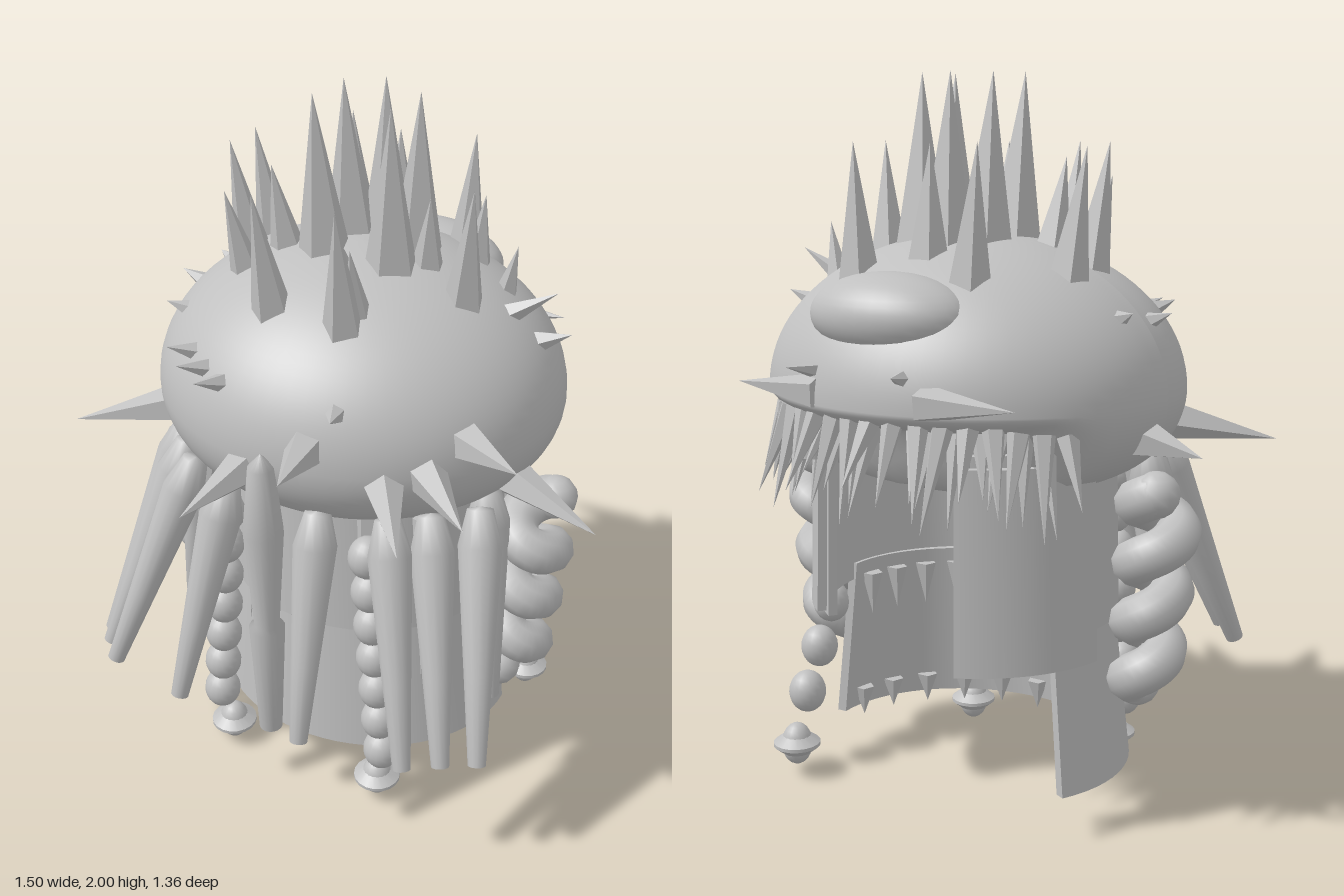
import * as THREE from 'three';
import { toCreasedNormals } from 'three/addons/utils/BufferGeometryUtils.js';

const grey = new THREE.MeshStandardMaterial({ color: 0xc0c0c0 });
grey.name = 'grey';
const UP = new THREE.Vector3(0, 1, 0);
const SIDES = [1, -1];

// Dome centre and radii
const C = new THREE.Vector3(-0.03, 1.17, -0.09);
const R = new THREE.Vector3(0.58, 0.41, 0.54);
const domeTop = (x, z) => C.y + R.y * Math.sqrt(1 - ((x - C.x) / R.x) ** 2 - ((z - C.z) / R.z) ** 2);
const lathe = (profile, sides) =>
  new THREE.LatheGeometry(profile.map(([x, y]) => new THREE.Vector2(x, y)), sides);

export function createModel() {
  const model = new THREE.Group();
  model.name = 'spikedHeaddress';

  const add = (name, geo, parent = model) => {
    const mesh = new THREE.Mesh(geo, grey);
    mesh.name = name;
    parent.add(mesh);
    return mesh;
  };
  const group = (name) => {
    const g = new THREE.Group();
    g.name = name;
    model.add(g);
    return g;
  };
  // Lays a unit-height mesh between two points
  const span = (mesh, from, to) => {
    const d = new THREE.Vector3().subVectors(to, from);
    mesh.position.copy(from);
    mesh.scale.y = d.length();
    mesh.quaternion.setFromUnitVectors(UP, d.normalize());
    return mesh;
  };
  const V = (x, y, z) => new THREE.Vector3(x, y, z);
  const coneGeo = toCreasedNormals(new THREE.ConeGeometry(1, 1, 5).translate(0, 0.5, 0), 0.2);
  const spike = (parent, name, base, tip, r) => {
    const m = span(add(name, coneGeo, parent), base, tip);
    m.scale.x = m.scale.z = r;
  };

  // Dome: fuller and shallower below, with the underside lifted at the back
  const dome = new THREE.SphereGeometry(1, 64, 48);
  const pos = dome.attributes.position;
  for (let i = 0; i < pos.count; i++) {
    const y = pos.getY(i);
    const full = y < 0 ? Math.max(0.001, 1 - y * y) ** -0.2 : 1;
    const x = pos.getX(i) * full, z = pos.getZ(i) * full;
    const ry = y > 0 ? R.y : 0.27 - 0.19 * THREE.MathUtils.smoothstep(-z, 0.38, 0.62);
    pos.setXYZ(i, C.x + R.x * x, C.y + ry * y, C.z + R.z * z);
  }
  dome.computeVertexNormals();
  add('dome', dome);
  const bulge = add('backBulge', new THREE.SphereGeometry(1, 32, 20));
  bulge.scale.set(0.23, 0.11, 0.15);
  bulge.position.set(-0.01, 1.39, -0.46);

  // Crown spikes: x and z of the foot, height of the tip
  const crown = group('crownSpikes');
  const crownSpike = (x, z, top) =>
    spike(crown, 'crownSpike', V(x, domeTop(x, z) - 0.05, z), V(x * 1.12, top, z * 1.1 + 0.04), top * 0.1 - 0.122);
  for (const s of SIDES) {
    crownSpike(s * 0.1 - 0.01, -0.03, 2);
    crownSpike(s * 0.1, -0.16, 2);
    crownSpike(s * 0.17 - 0.025, -0.38, 1.82);
    crownSpike(s * 0.105 - 0.025, 0.21, 1.82);
    crownSpike(s * 0.32 - 0.03, -0.05, 1.82);
  }
  [[-0.02, -0.22, 2], [-0.03, -0.32, 1.82], [-0.36, -0.18, 1.81], [-0.23, -0.04, 1.78],
    [-0.3, 0.06, 1.73], [0.22, -0.28, 1.7], [0.01, 0.07, 1.68], [0.33, -0.23, 1.6],
    [0.16, -0.1, 1.75], [0.09, 0.16, 1.7],
  ].forEach((p) => crownSpike(...p));

  // Spikes growing outward through the dome surface, given by their tips
  const thorns = group('domeSpikes');
  const thorn = (x, y, z, r) => {
    const tip = V(x, y, z), d = tip.clone().sub(C);
    const base = C.clone().addScaledVector(d, 0.93 / d.clone().divide(R).length());
    spike(thorns, 'domeSpike', base, tip, r);
  };
  [[-0.75, 1.02, 0.31], [-0.74, 1.05, -0.16], [0.75, 0.98, 0.07], [0.62, 1.27, 0.32], [0.55, 1.17, 0.47],
    [0.43, 1.12, 0.58], [-0.13, 1.11, 0.68], [0.13, 1.26, 0.63],
  ].forEach((p) => thorn(...p, 0.06));
  [[-0.3, 1.37, 0.42], [-0.37, 1.38, 0.36], [-0.5, 1.4, 0.17], [-0.59, 1.39, -0.04], [0.51, 1.52, -0.16],
  ].forEach((p) => thorn(...p, 0.035));
  for (const s of SIDES) {
    thorn(s * 0.2 - 0.02, 1.36, 0.46, 0.035);
    thorn(s * 0.55, 1.4, -0.18, 0.04);
    thorn(s * 0.16, 1.27, -0.67, 0.03);
    // Long spikes lying sideways along the back
    spike(thorns, 'backSpike', V(s * 0.16 - 0.04, 1.2, -0.59), V(s * 0.42 - 0.05, 1.21, -0.61), 0.05);
  }

  // Ragged spiky fringe along the back rim, in two rows
  const fringe = group('backFringe');
  for (let row = 0; row < 2; row++) {
    for (let i = 0; i <= 16; i++) {
      const a = -0.98 + 0.12 * i + row * 0.06;
      const k = 0.92 - row * 0.12, s = Math.sin(a), c = Math.cos(a);
      const x = C.x + R.x * k * s, z = C.z - R.z * k * c;
      const y = 1.02 + 0.09 * c, len = 0.13 + 0.03 * ((i * 7 + row * 3) % 4);
      spike(fringe, 'fringeSpike', V(x, y + 0.04, z),
        V(x + s * 0.05 + 0.03 * ((i % 3) - 1), y - len, z - c * 0.09), 0.03);
    }
  }
  add('backPeg', new THREE.CylinderGeometry(0.035, 0.035, 0.11, 12)).position.set(0.22, 1.06, -0.5);

  // Curved neck guard pieces: elliptical arcs from angle a0 to a1 (90 degrees is the front)
  const guard = (name, rx, rz, y0, height, a0, a1, flare) => {
    const arc = (k) => Array.from({ length: 41 }, (_, i) => {
      const a = THREE.MathUtils.degToRad(a0 + ((a1 - a0) * i) / 40);
      return new THREE.Vector2((rx - k) * Math.cos(a), (k - rz) * Math.sin(a));
    });
    const shape = new THREE.Shape([...arc(0), ...arc(0.025).reverse()]);
    const geo = new THREE.ExtrudeGeometry(shape, { depth: height, bevelEnabled: false });
    geo.rotateX(-Math.PI / 2);
    const p = geo.attributes.position;
    for (let i = 0; i < p.count; i++) {
      const f = 1 + flare * (1 - p.getY(i) / height);
      p.setX(i, p.getX(i) * f);
      p.setZ(i, p.getZ(i) * f);
    }
    geo.translate(-0.025, y0, -0.12);
    add(name, toCreasedNormals(geo, 0.6));
  };
  guard('lowerGuard', 0.41, 0.37, 0.13, 0.47, -3, 207, 0.13);
  guard('upperGuard', 0.41, 0.39, 0.55, 0.5, -54, 238, 0.03);
  guard('leftFlap', 0.44, 0.41, 0.56, 0.46, -52, -8, 0.03);
  guard('rightFlap', 0.44, 0.41, 0.48, 0.54, 190, 244, 0.03);

  // Downward teeth along the inside of both guard rims
  const teeth = group('rimTeeth');
  const toothRow = (rx, rz, y, len, n) => {
    for (let i = 0; i < n; i++) {
      const a = (Math.PI * (i + 0.5)) / n;
      const x = rx * Math.cos(a) - 0.025, z = rz * Math.sin(a) - 0.12;
      spike(teeth, 'rimTooth', V(x, y, z), V(x, y - len, z), 0.032);
    }
  };
  toothRow(0.38, 0.355, 0.56, 0.13, 12);
  toothRow(0.425, 0.38, 0.19, 0.09, 11);

  // Hanging tendrils: rounded at the top, tapering to a blunt end
  const tendrils = group('tendrils');
  const tendrilGeo = lathe([[0, 0], [0.025, 0], [0.039, 0.35], [0.06, 0.86], [0.036, 1], [0, 1.01]], 14);
  const tendril = (x, z, endX, endY, endZ) =>
    span(add('tendril', tendrilGeo, tendrils), V(endX, endY, endZ), V(x, 1.02, z));
  for (const s of SIDES) {
    tendril(s * 0.14 - 0.045, 0.38, s * 0.195 - 0.055, 0.4, 0.58);
    tendril(s * 0.3 - 0.03, 0.32, s * 0.47 - 0.04, 0.39, 0.53);
    tendril(s * 0.38 - 0.02, 0.25, s * 0.54 - 0.02, 0.4, 0.48);
    tendril(s * 0.46, 0.16, s * 0.6, 0.39, 0.42);
    tendril(s * 0.46 - 0.02, 0.07, s * 0.51 - 0.01, 0.36, 0.11);
  }
  const centre = lathe([[0, 0.29], [0.033, 0.29], [0.05, 0.65], [0.035, 0.66], [0.055, 0.97], [0.035, 1.17], [0, 1.21]], 16);
  add('centreTendril', centre, tendrils).position.set(-0.025, 0, 0.46);
  // Thin pointed strands behind the tendrils
  for (let i = -2; i <= 2; i++)
    spike(tendrils, 'thinStrand', V(i * 0.17, 1, 0.24), V(i * 0.185, 0.5, 0.3), 0.035);

  // Coiled locks at both sides
  for (const s of SIDES) {
    const pts = [];
    for (let i = 0; i <= 60; i++) {
      const t = i / 60, a = t * 6.8 * Math.PI + 1.2, r = 0.07 - 0.02 * t;
      pts.push(V(s * (0.56 - 0.04 * t + r * 0.8 * Math.cos(a)) - 0.015,
        0.93 - 0.56 * t, -0.05 + 0.01 * t - r * Math.sin(a)));
    }
    const lock = group(s > 0 ? 'leftCoil' : 'rightCoil');
    add('coil', new THREE.TubeGeometry(new THREE.CatmullRomCurve3(pts), 110, 0.062, 10), lock);
    for (const end of [pts[0], pts[60]])
      add('coilEnd', new THREE.SphereGeometry(0.062, 12, 8), lock).position.copy(end);
  }

  // Bead strands, each ending in a rimmed drop
  const beadGeo = new THREE.SphereGeometry(1, 18, 12);
  const rimGeo = toCreasedNormals(
    lathe([[0, -0.03], [0.035, -0.03], [0.068, -0.004], [0.068, 0.006], [0.035, 0.03], [0, 0.03]], 18), 0.6);
  const strand = (top, bottom, count, end) => {
    const g = group('beadStrand');
    const bead = (name, at, r) => {
      const b = add(name, beadGeo, g);
      b.position.copy(at);
      b.scale.set(r, 0.062, r);
    };
    for (let i = 0; i < count; i++) bead('bead', top.clone().lerp(bottom, i / (count - 1)), 0.054);
    add('dropRim', rimGeo, g).position.copy(end);
    bead('drop', end, 0.045);
  };
  for (const s of SIDES)
    strand(V(s * 0.225 - 0.025, 0.86, 0.3), V(s * 0.275 - 0.025, 0.19, 0.3), 7, V(s * 0.25 - 0.02, 0.067, 0.29));
  strand(V(0.44, 0.6, -0.1), V(0.44, 0.235, -0.28), 4, V(0.43, 0.098, -0.345));

  return model;
}
